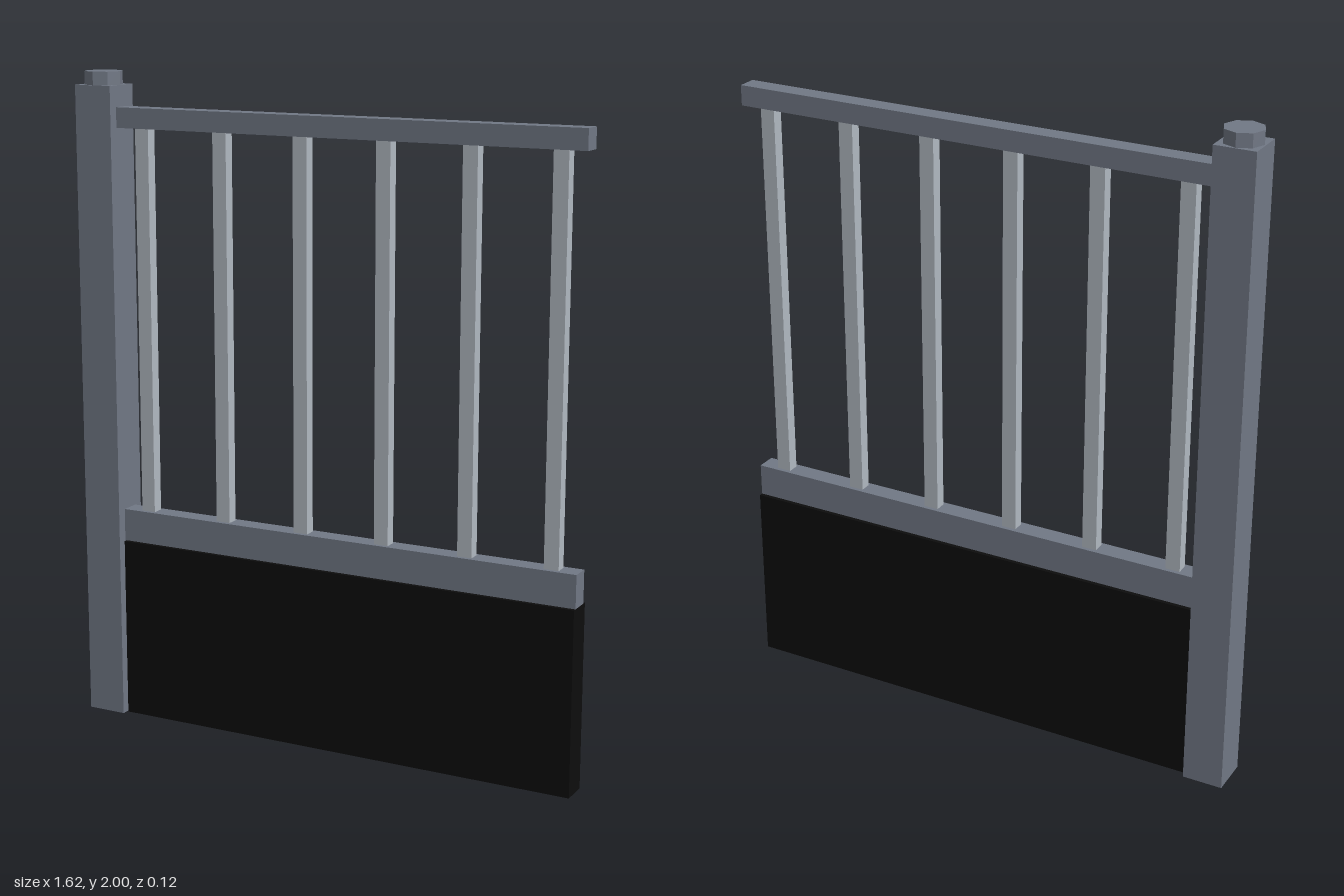
import * as THREE from 'three';

export function createModel() {
  const model = new THREE.Group();
  const steel = new THREE.MeshStandardMaterial({ color: 0x717885 });
  steel.name = 'slate grey steel';
  const pale = new THREE.MeshStandardMaterial({ color: 0xb1b9c1 });
  pale.name = 'pale grey steel';
  const black = new THREE.MeshStandardMaterial({ color: 0x0d0d0d });
  black.name = 'black panel';

  // Box given by its x and y extents and its depth, centred on z = 0
  const bar = (name, material, x0, x1, y0, y1, depth) => {
    const mesh = new THREE.Mesh(new THREE.BoxGeometry(x1 - x0, y1 - y0, depth), material);
    mesh.position.set((x0 + x1) / 2, (y0 + y1) / 2, 0);
    mesh.name = name;
    model.add(mesh);
  };

  // Post with an octagonal cap
  bar('post', steel, -0.808, -0.685, 0, 1.96, 0.123);
  const capGeometry = new THREE.CylinderGeometry(0.058, 0.058, 0.04, 8).toNonIndexed();
  capGeometry.computeVertexNormals();
  const cap = new THREE.Mesh(capGeometry, steel);
  cap.position.set(-0.7465, 1.98, 0);
  cap.name = 'postCap';
  model.add(cap);

  // Rails and the solid panel below them
  bar('topRail', steel, -0.685, 0.808, 1.835, 1.896, 0.06);
  bar('lowerRail', steel, -0.685, 0.808, 0.56, 0.66, 0.06);
  bar('kickPanel', black, -0.68, 0.808, 0, 0.56, 0.084);

  // Evenly spaced balusters
  for (let i = 0; i < 6; i++) {
    const x = -0.605 + i * 0.2665;
    bar('baluster' + (i + 1), pale, x - 0.0225, x + 0.0225, 0.66, 1.835, 0.036);
  }
  return model;
}
